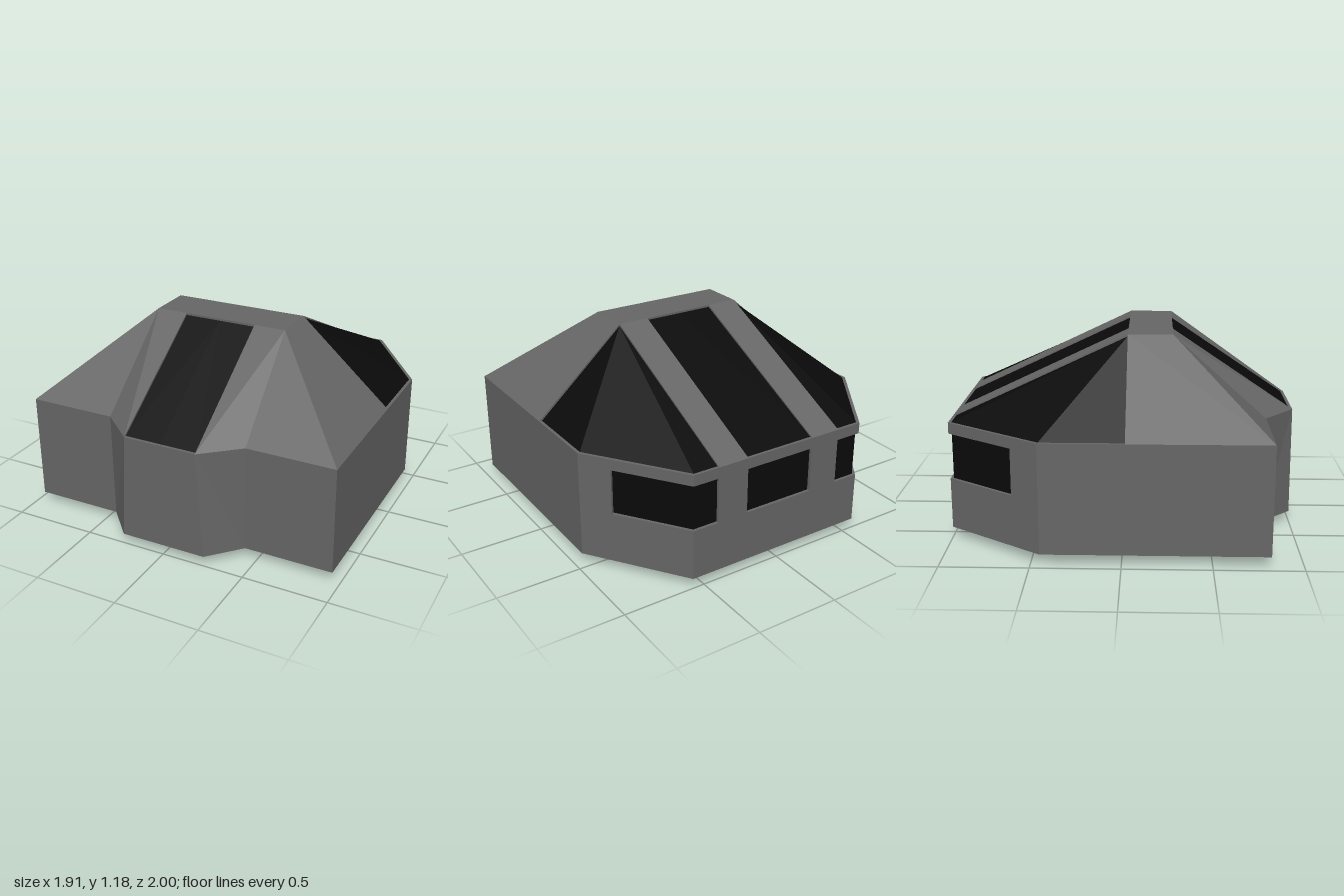
import * as THREE from 'three';

// Heights: floor edge, window sill, window head, eaves, roof
const FLOOR = 0.06, SILL = 0.36, HEAD = 0.63, EAVE = 0.695, ROOF = 1.18;
const CENTRE = new THREE.Vector3(0, 0.5, 0);

const shell = new THREE.MeshStandardMaterial({ color: 0x666666, flatShading: true, side: THREE.DoubleSide });
const glass = new THREE.MeshStandardMaterial({ color: 0x0a0a0a, flatShading: true, side: THREE.DoubleSide });

// Builds one mesh from convex half-model polygons, mirrored over x and turned outwards
function panels(name, polygons, material) {
  const out = [];
  for (const side of [1, -1]) {
    for (const poly of polygons) {
      const p = poly.map(([x, y, z]) => new THREE.Vector3(side * x, y, z));
      for (let i = 1; i < p.length - 1; i++) {
        let [a, b, c] = [p[0], p[i], p[i + 1]];
        const normal = b.clone().sub(a).cross(c.clone().sub(a));
        const middle = a.clone().add(b).add(c).divideScalar(3).sub(CENTRE);
        if (normal.dot(middle) < 0) [b, c] = [c, b];
        for (const v of [a, b, c]) out.push(v.x, v.y, v.z);
      }
    }
  }
  const geometry = new THREE.BufferGeometry();
  geometry.setAttribute('position', new THREE.Float32BufferAttribute(out, 3));
  geometry.computeVertexNormals();
  const mesh = new THREE.Mesh(geometry, material);
  mesh.name = name;
  return mesh;
}

// Upright quads along a plan path of [x, z] points
const band = (path, y0, y1) => path.slice(1).map(([x, z], i) => {
  const [px, pz] = path[i];
  return [[px, y0, pz], [x, y0, z], [x, y1, z], [px, y1, pz]];
});

// Quads joining two matching 3D paths
const bridge = (a, b) => a.slice(1).map((p, i) => [a[i], p, b[i + 1], b[i]]);

const at = (path, y) => path.map(([x, z]) => [x, y, z]);

export function createModel() {
  const model = new THREE.Group();
  model.name = 'cabin';

  // Half plan from the middle of the back round to the middle of the front
  const backPlan = [[0, -1], [0.57, -1], [0.955, -0.45]];
  const frontTop = [[0.955, -0.45], [0.955, 0.82], [0.43, 0.82], [0.22, 1], [0, 1]];
  const frontBottom = [[0.955, -0.45], [0.955, 0.82], [0.43, 0.82], [0.26, 1], [0, 1]];

  // Walls, with openings left in the back and the oblique corners
  model.add(panels('walls', [
    ...bridge(at(frontBottom, FLOOR), at(frontTop, EAVE)),
    ...band(backPlan, FLOOR, SILL),
    ...band(backPlan, HEAD, EAVE),
    ...band([[0.22, -1], [0.41, -1]], SILL, HEAD),
    ...band([[0.843, -0.61], [0.955, -0.45]], SILL, HEAD),
  ], shell));

  // Recessed windows: outer plan path and inset plan path
  const d = 0.018;
  const windows = {
    rearWindow: [[[0, -1], [0.22, -1]], [[0, -1 + d], [0.22, -1 + d]]],
    cornerWindows: [
      [[0.41, -1], [0.57, -1], [0.843, -0.61]],
      [[0.41, -1 + d], [0.57 - 0.525 * d, -1 + d], [0.843 - 0.823 * d, -0.61 + 0.568 * d]],
    ],
  };
  for (const [name, [outer, inner]] of Object.entries(windows)) {
    const ends = [outer.length - 1];
    if (outer[0][0] > 0) ends.push(0);
    model.add(panels(name, band(inner, SILL, HEAD), glass));
    model.add(panels(name + 'Reveal', [
      ...bridge(at(outer, SILL), at(inner, SILL)),
      ...bridge(at(outer, HEAD), at(inner, HEAD)),
      ...ends.flatMap((i) => band([outer[i], inner[i]], SILL, HEAD)),
    ], shell));
  }

  // Tapered underside
  const rim = at([...backPlan, ...frontBottom.slice(1)], FLOOR);
  const foot = at([[0, -0.7], [0.42, -0.7], [0.74, -0.45], [0.74, 0.32], [0.36, 0.61], [0.26, 0.66], [0, 0.66]], 0);
  model.add(panels('underside', [...bridge(rim, foot), foot], shell));

  // Roof shell: flat top, sides, front facets and the two rear ribs
  const front = [0.41, ROOF, 0.28], back = [0.41, ROOF, 0.02];
  const eave = (x, z) => [x, EAVE, z];
  model.add(panels('roof', [
    [[0, ROOF, 0.02], back, front, [0, ROOF, 0.28]],
    [back, front, eave(0.955, 0.82), eave(0.955, 0.02)],
    [front, eave(0.955, 0.82), eave(0.43, 0.82)],
    [front, eave(0.43, 0.82), eave(0.22, 1), [0.22, ROOF, 0.28]],
    [[0.22, ROOF, 0.02], back, eave(0.41, -1), eave(0.22, -1)],
  ], shell));

  // Sloping roof glass, set just below the shell
  const low = ROOF - 0.012, e = 0.018;
  const frontGlass = [[0, low, 0.28], [0.22, low, 0.28], eave(0.22, 1 - e), eave(0, 1 - e)];
  const rearGlass = [[0, low, 0.02], [0.22, low, 0.02], eave(0.22, -1 + e), eave(0, -1 + e)];
  const peak = [0.41, low, 0.02];
  const sideGlass = [eave(0.955 - e, 0.02), eave(0.955 - e, -0.444), eave(0.56, -1 + e), eave(0.41, -1 + e)];
  model.add(panels('frontRoofGlass', [frontGlass], glass));
  model.add(panels('rearRoofGlass', [rearGlass], glass));
  model.add(panels('sideRoofGlass', [[peak, ...sideGlass]], glass));

  // Narrow ledges and reveals framing the roof glass
  const sideEdge = [eave(0.955, 0.02), eave(0.955, -0.45), eave(0.57, -1), eave(0.41, -1)];
  const frames = [
    ...bridge(sideEdge, sideGlass),
    [back, peak, sideGlass[3], sideEdge[3]],
    [back, peak, sideGlass[0], sideEdge[0]],
  ];
  for (const [pane, z, end] of [[frontGlass, 0.28, 1], [rearGlass, 0.02, -1]]) {
    frames.push(
      [[0, ROOF, z], [0.22, ROOF, z], pane[1], pane[0]],
      [[0.22, ROOF, z], eave(0.22, end), pane[2], pane[1]],
      [eave(0, end), eave(0.22, end), pane[2], pane[3]],
    );
  }
  model.add(panels('roofGlassFrames', frames, shell));

  return model;
}
